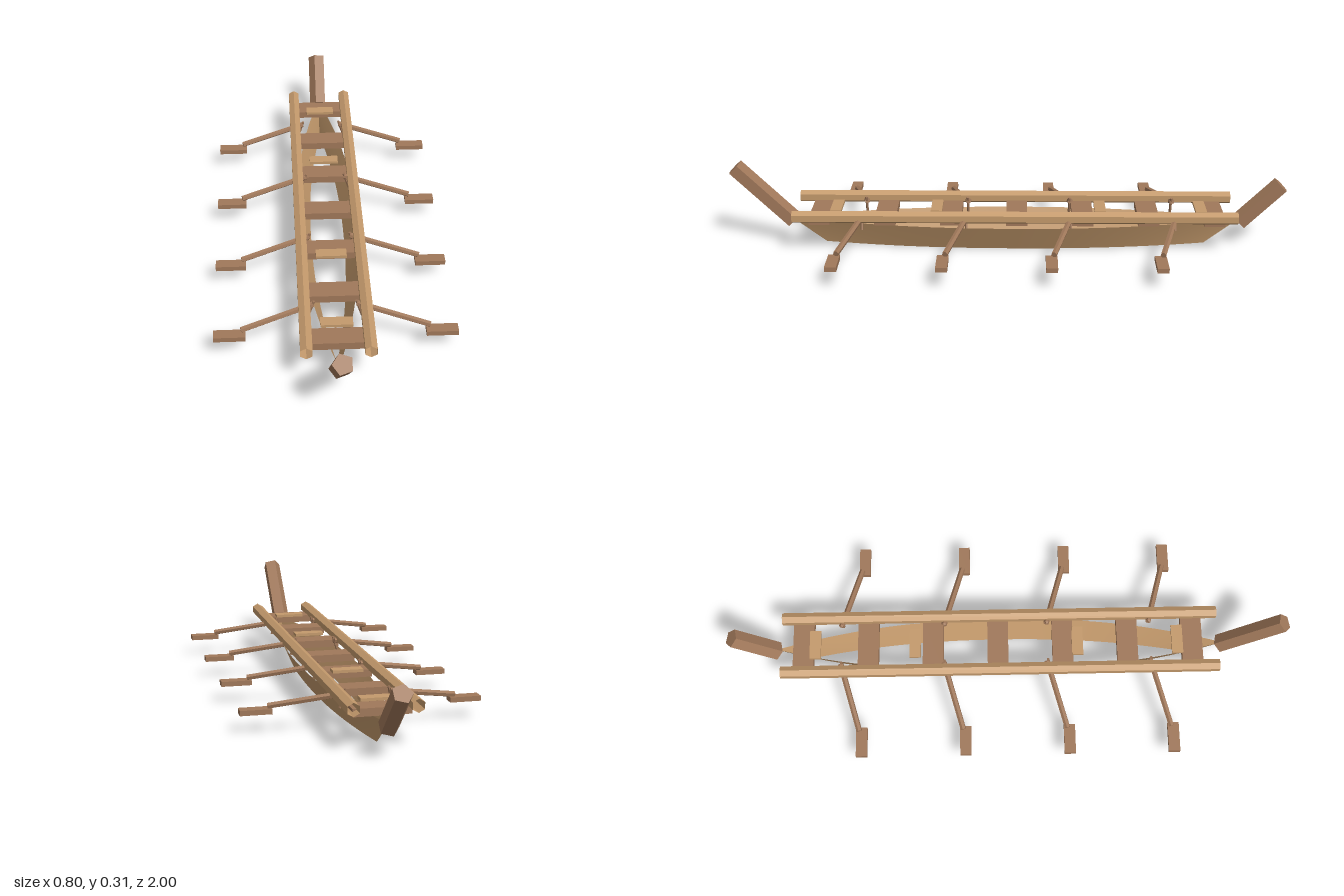
import * as THREE from 'three';

export function createModel() {
  const model = new THREE.Group();
  model.name = 'rowingLongboat';

  const material = (name, color, extra = {}) =>
    Object.assign(new THREE.MeshStandardMaterial({ color, ...extra }), { name });
  const lightWood = material('lightWood', 0xc49a6c, { side: THREE.DoubleSide });
  const darkWood = material('darkWood', 0xa0785a);

  const add = (name, geometry, mat, x = 0, y = 0, z = 0, parent = model) => {
    const mesh = new THREE.Mesh(geometry, mat);
    mesh.name = name;
    mesh.position.set(x, y, z);
    parent.add(mesh);
    return mesh;
  };

  // faceted rod, with one flat normal per side
  const rod = (radius, length, sides, open = false) => {
    const g = new THREE.CylinderGeometry(radius, radius, length, sides, 1, open).toNonIndexed();
    g.computeVertexNormals();
    return g;
  };
  const rodBetween = (name, a, b, radius, sides, parent) => {
    const dir = b.clone().sub(a);
    const mid = a.clone().add(b).multiplyScalar(0.5);
    const mesh = add(name, rod(radius, dir.length(), sides), darkWood, mid.x, mid.y, mid.z, parent);
    mesh.quaternion.setFromUnitVectors(new THREE.Vector3(0, 1, 0), dir.normalize());
  };

  const midZ = -0.025;

  // Hull: two flared curved walls that meet at bow and stern, open top and bottom
  for (const s of [1, -1]) {
    const wall = new THREE.PlaneGeometry(2, 1, 40, 2);
    const p = wall.attributes.position;
    for (let i = 0; i < p.count; i++) {
      const u = Math.sin(p.getX(i) * Math.PI / 2);
      const v = p.getY(i) + 0.5;
      const halfWidth = THREE.MathUtils.lerp(0.06, 0.105, v);
      const halfLength = THREE.MathUtils.lerp(0.685, 0.81, v);
      const x = halfWidth * (1 - Math.pow(Math.abs(u), 2.2));
      p.setXYZ(i, s * x, v * 0.095, midZ - s * u * halfLength);
    }
    wall.computeVertexNormals();
    add(s > 0 ? 'leftHullWall' : 'rightHullWall', wall, lightWood);
  }

  // Slanted five-sided posts at bow and stern
  const post = (name, length, y, z, tilt) => {
    const g = rod(0.034, length, 5).rotateY(-Math.PI / 2).rotateX(tilt);
    add(name, g, darkWood, 0, y, z);
  };
  post('bowPost', 0.283, 0.184, 0.876, Math.PI / 4);
  post('sternPost', 0.2, 0.154, -0.906, -Math.PI / 4);

  // Open-ended rails along both sides
  for (const s of [1, -1]) {
    const g = rod(0.0225, 1.575, 6, true).rotateX(Math.PI / 2);
    add(s > 0 ? 'leftRail' : 'rightRail', g, lightWood, s * 0.102, 0.137, midZ);
  }

  // Cross seats
  for (let i = -3; i <= 3; i++) {
    add('seat', new THREE.BoxGeometry(0.19, 0.026, 0.075), darkWood, 0, 0.115, -0.032 + i * 0.234);
  }

  // Small thin boards beside the seats
  for (const z of [-0.69, -0.33, 0.255, 0.615]) {
    add('smallBoard', new THREE.BoxGeometry(0.106, 0.01, 0.04), lightWood, 0, 0.137, z);
  }

  // Four pairs of oars, each with shaft, blade and pin
  for (let i = 0; i < 4; i++) {
    for (const s of [1, -1]) {
      const oar = new THREE.Group();
      oar.name = s > 0 ? 'leftOar' : 'rightOar';
      oar.position.z = -0.523 + i * 0.371;
      model.add(oar);
      const v = (x, y, z) => new THREE.Vector3(s * x, y, z);
      rodBetween('oarShaft', v(0.072, 0.131, -0.075), v(0.31, 0.087, -0.008), 0.0105, 6, oar);
      rodBetween('oarPin', v(0.09, 0.083, -0.072), v(0.07, 0.145, -0.072), 0.005, 5, oar);
      add('oarBlade', new THREE.BoxGeometry(0.105, 0.017, 0.04), darkWood, s * 0.348, 0.07, 0, oar);
    }
  }

  return model;
}
